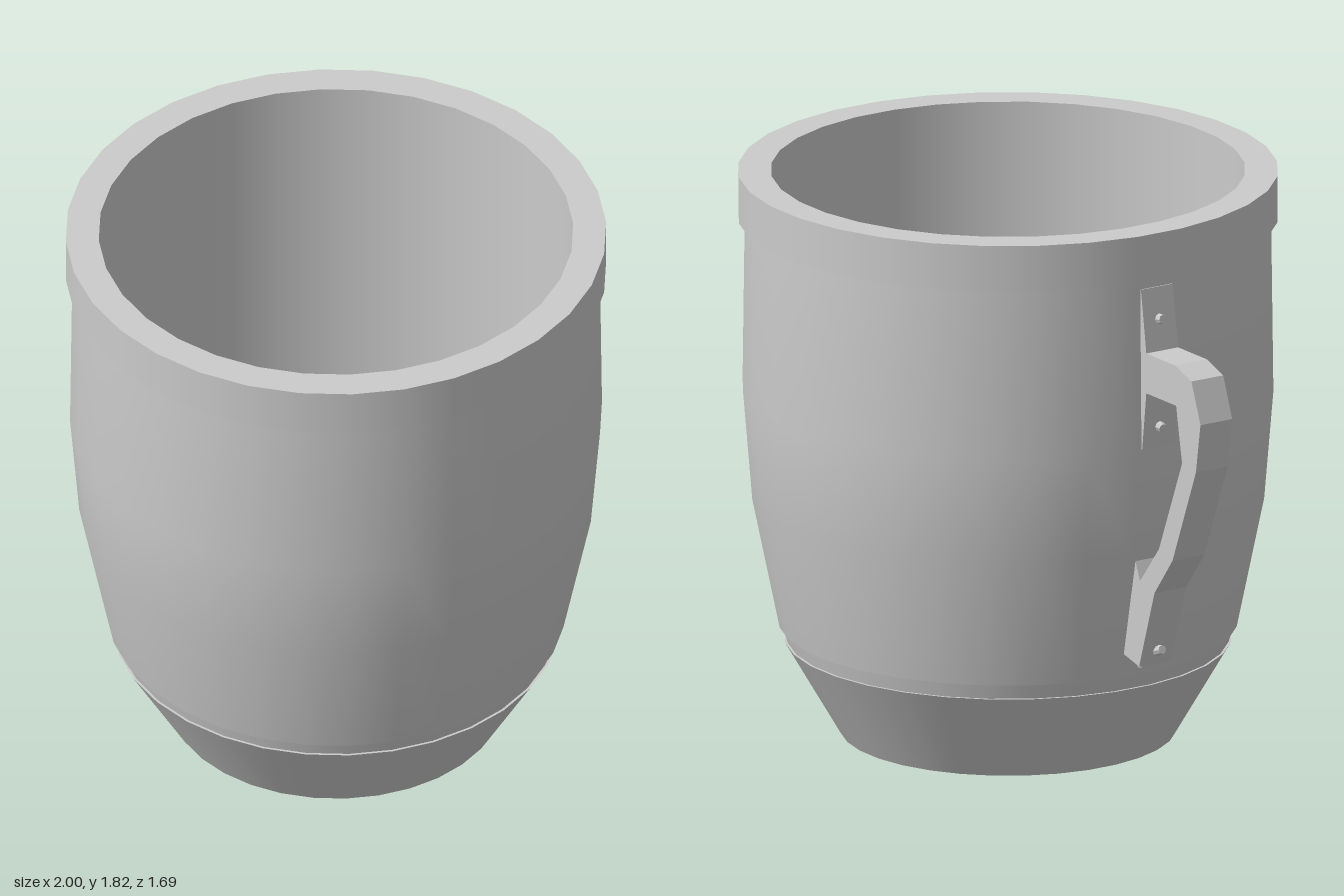
import * as THREE from 'three';

const SIDES = 32;
const AXIS_X = 0.153; // the cup is offset so that cup and handle are centred together

export function createModel() {
  const model = new THREE.Group();
  const smooth = new THREE.MeshStandardMaterial({ color: 0xcccccc });
  const flat = new THREE.MeshStandardMaterial({ color: 0xcccccc, flatShading: true });

  // Each run of profile points [radius, y] is smooth; a new run makes a sharp edge
  function turned(name, runs) {
    const part = new THREE.Group();
    part.name = name;
    for (const run of runs) {
      const points = run.map(([r, y]) => new THREE.Vector2(r, y));
      const mesh = new THREE.Mesh(new THREE.LatheGeometry(points, SIDES), smooth);
      mesh.name = name + 'Surface';
      part.add(mesh);
    }
    part.position.x = AXIS_X;
    model.add(part);
  }

  // Tapered foot
  turned('foot', [
    [[0, 0], [0.525, 0]],
    [[0.525, 0], [0.7, 0.3]],
    [[0.7, 0.3], [0.685, 0.3]],
  ]);

  // Narrow recessed band above the foot
  turned('band', [[[0.692, 0.3], [0.705, 0.35]]]);

  // Bulging outer wall
  turned('body', [
    [[0.7, 0.35], [0.717, 0.35]],
    [[0.717, 0.35], [0.803, 0.77], [0.832, 1.12], [0.825, 1.67]],
  ]);

  // Raised lip
  turned('rim', [
    [[0.82, 1.67], [0.845, 1.67]],
    [[0.845, 1.67], [0.845, 1.82]],
    [[0.845, 1.82], [0.742, 1.82]],
  ]);

  // Straight inner wall and floor
  turned('interior', [
    [[0.742, 1.82], [0.742, 0.52]],
    [[0.742, 0.52], [0, 0.52]],
  ]);

  // Handle, turned to sit on the middle of one facet
  const handle = new THREE.Group();
  handle.name = 'handle';
  handle.position.x = AXIS_X;
  handle.rotation.y = -Math.PI / SIDES;
  model.add(handle);

  const outline = [
    [-0.80, 1.64], [-0.825, 1.64], [-0.855, 1.44], [-1.015, 1.44], [-1.105, 1.41],
    [-1.155, 1.28], [-1.13, 1.12], [-1.0, 0.80], [-0.90, 0.67], [-0.815, 0.41],
    [-0.73, 0.43], [-0.79, 0.76], [-0.82, 0.69], [-0.925, 0.82], [-1.053, 1.13],
    [-1.02, 1.31], [-0.855, 1.31], [-0.832, 1.12], [-0.80, 1.12],
  ].map(([x, y]) => new THREE.Vector2(x, y));
  const width = 0.12;
  const gripGeometry = new THREE.ExtrudeGeometry(new THREE.Shape(outline), {
    depth: width, bevelEnabled: false,
  });
  gripGeometry.translate(0, 0, -width / 2);
  const grip = new THREE.Mesh(gripGeometry, flat);
  grip.name = 'grip';
  handle.add(grip);

  // Rivets: position on the outline and outward direction
  const rivetGeometry = new THREE.CylinderGeometry(0.014, 0.019, 0.036, 8);
  const rivets = [
    [-0.842, 1.54, -1, 0.15],
    [-0.842, 1.19, -1, -0.15],
    [-0.838, 0.46, -1, 0.3],
    [-0.745, 0.40, 0.1, -1],
  ];
  for (const [x, y, dx, dy] of rivets) {
    const rivet = new THREE.Mesh(rivetGeometry, flat);
    rivet.name = 'rivet';
    rivet.position.set(x, y, 0);
    rivet.quaternion.setFromUnitVectors(
      new THREE.Vector3(0, 1, 0), new THREE.Vector3(dx, dy, 0).normalize());
    handle.add(rivet);
  }

  return model;
}
